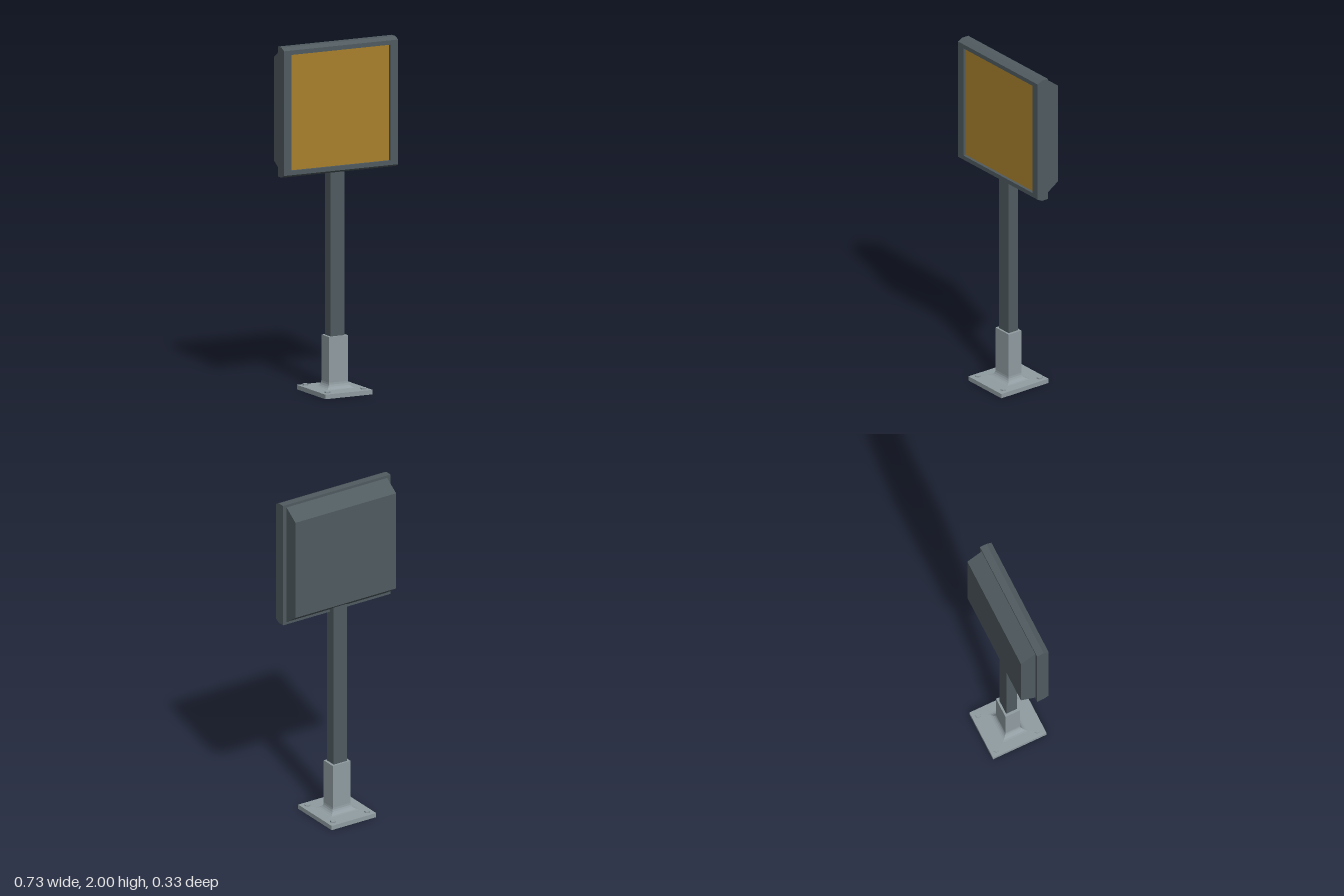
import * as THREE from 'three';

const dark = new THREE.MeshStandardMaterial({ color: 0x505b60, flatShading: true });
const steel = new THREE.MeshStandardMaterial({ color: 0x919da2, flatShading: true });
const amber = new THREE.MeshStandardMaterial({ color: 0xa9802c });

// Joins rectangular rings [halfWidth, halfHeight, z] into a skin
function rectLoft(rings) {
  const pos = [];
  const corner = ([w, h, z], i) => {
    const k = i % 4;
    return [k === 0 || k === 1 ? w : -w, k === 1 || k === 2 ? h : -h, z];
  };
  for (let r = 0; r < rings.length - 1; r++) {
    for (let i = 0; i < 4; i++) {
      const a = corner(rings[r], i), b = corner(rings[r], i + 1);
      const c = corner(rings[r + 1], i + 1), d = corner(rings[r + 1], i);
      pos.push(...a, ...b, ...c, ...a, ...c, ...d);
    }
  }
  const geo = new THREE.BufferGeometry();
  geo.setAttribute('position', new THREE.Float32BufferAttribute(pos, 3));
  geo.computeVertexNormals();
  return geo;
}

function add(parent, name, geometry, material, x = 0, y = 0, z = 0) {
  const mesh = new THREE.Mesh(geometry, material);
  mesh.name = name;
  mesh.position.set(x, y, z);
  parent.add(mesh);
  return mesh;
}

export function createModel() {
  const model = new THREE.Group();
  model.name = 'signPost';

  // Cast base: bore, hollow underside, plate, curved flare and sleeve
  const flare = [];
  for (let i = 0; i <= 5; i++) {
    const t = (i / 5) * Math.PI / 2;
    const out = 0.034 * (1 - Math.sin(t));
    flare.push([0.06 + out, 0.045 + out, 0.028 + 0.037 * (1 - Math.cos(t))]);
  }
  const base = rectLoft([
    [0.045, 0.033, 0.325], [0.045, 0.033, 0.016],
    [0.125, 0.142, 0.016], [0.125, 0.142, 0],
    [0.15, 0.167, 0], [0.15, 0.167, 0.026],
    ...flare,
    [0.06, 0.045, 0.325], [0.045, 0.033, 0.325],
  ]);
  base.rotateX(-Math.PI / 2);
  add(model, 'baseSleeve', base, steel);

  // Hexagonal bolts at the plate corners
  const boltGeo = new THREE.CylinderGeometry(0.017, 0.017, 0.012, 6);
  for (const x of [-0.115, 0.115]) {
    for (const z of [-0.13, 0.125]) {
      const bolt = add(model, 'bolt', boltGeo, steel, x, 0.029, z);
      bolt.rotation.y = x < 0 ? 0.1 : -0.25;
    }
  }

  // Rectangular post
  add(model, 'post', new THREE.BoxGeometry(0.09, 1.32, 0.065), dark, 0, 0.74, 0.001);

  // Display head
  const head = new THREE.Group();
  head.name = 'head';
  head.position.y = 1.63;
  model.add(head);

  // Front frame, bevelled along the top and bottom
  add(head, 'frame', rectLoft([
    [0.34, 0.355, 0.003], [0.363, 0.37, 0.003], [0.363, 0.37, 0.045],
    [0.363, 0.355, 0.075], [0.315, 0.33, 0.075], [0.315, 0.33, 0.058],
  ]), dark);

  // Rear housing with sloping top and bottom
  add(head, 'housing', rectLoft([
    [0, 0, -0.086], [0.34, 0.295, -0.086], [0.34, 0.355, 0.003],
  ]), dark);

  // Recessed front panel
  add(head, 'panel', new THREE.BoxGeometry(0.63, 0.66, 0.01), amber, 0, 0, 0.054);

  return model;
}
